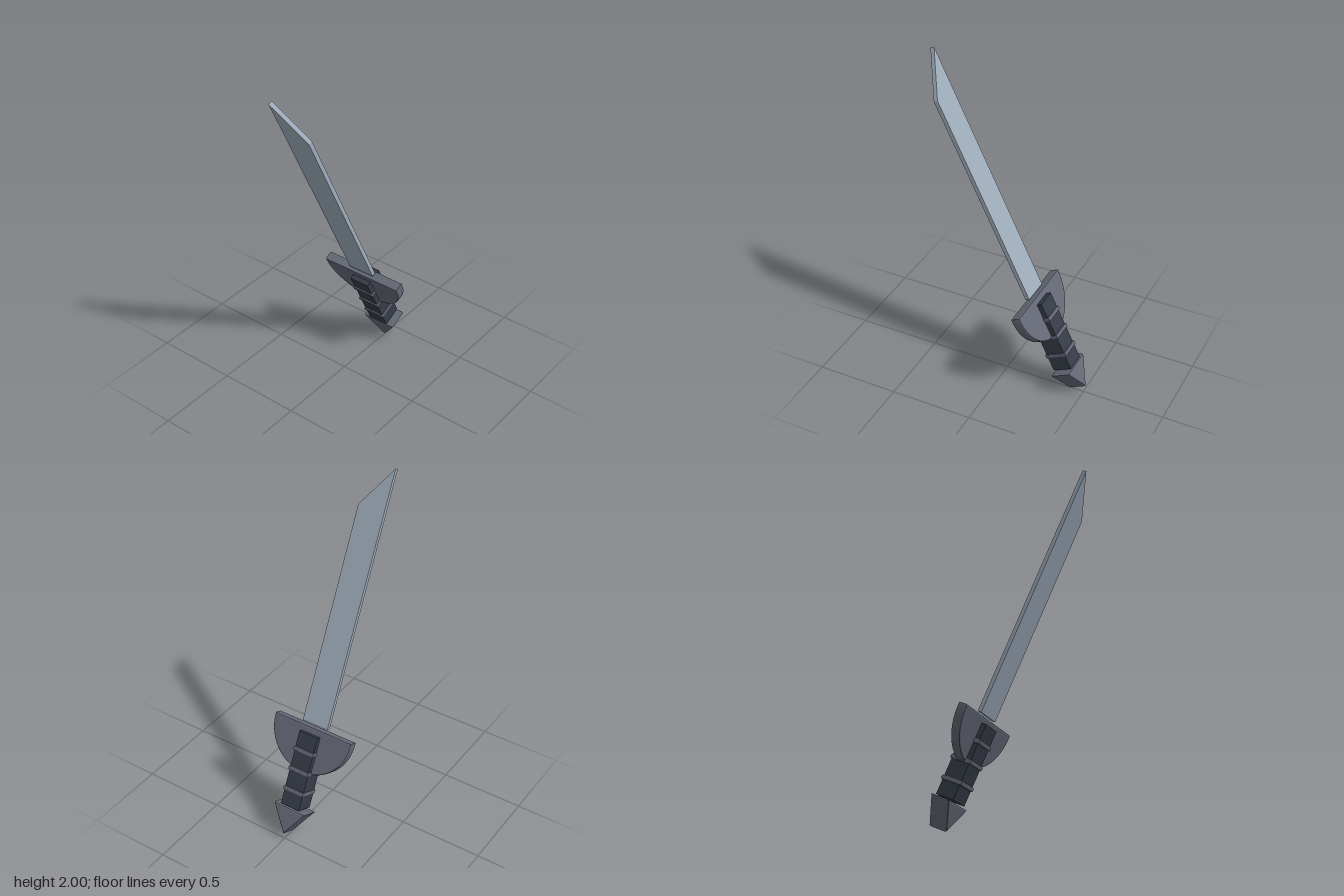
import * as THREE from 'three';

const steel = new THREE.MeshStandardMaterial({ name: 'bladeSteel', color: 0x9fadbc });
const iron = new THREE.MeshStandardMaterial({ name: 'darkIron', color: 0x666a78 });
const wrap = new THREE.MeshStandardMaterial({ name: 'gripWrap', color: 0x363c48 });

// Slab cut from an outline, centred on local z, with optional bevel kept inside the outline
function slab(name, shape, depth, bevel, material) {
  const geometry = new THREE.ExtrudeGeometry(shape, {
    depth: depth - 2 * bevel,
    bevelEnabled: bevel > 0,
    bevelSize: bevel,
    bevelThickness: bevel,
    bevelOffset: -bevel,
    bevelSegments: 2,
    curveSegments: 24,
  });
  geometry.translate(0, 0, -depth / 2 + bevel);
  const mesh = new THREE.Mesh(geometry, material);
  mesh.name = name;
  return mesh;
}

function polygon(points) {
  return new THREE.Shape(points.map(([x, y]) => new THREE.Vector2(x, y)));
}

export function createModel() {
  const model = new THREE.Group();
  model.name = 'sword';

  // The whole sword leans forward along its own axis
  const sword = new THREE.Group();
  sword.name = 'tiltedSword';
  sword.rotation.x = 0.45;
  sword.position.z = -0.473;
  model.add(sword);

  // Blade with a slanted tip
  const blade = polygon([[-0.084, 0.697], [0.084, 0.697], [0.084, 1.972], [-0.084, 2.216]]);
  sword.add(slab('blade', blade, 0.025, 0, steel));

  // Half-round guard
  const guard = new THREE.Shape();
  guard.moveTo(0.26, 0.682);
  guard.lineTo(-0.26, 0.682);
  guard.lineTo(-0.26, 0.665);
  guard.absellipse(0, 0.665, 0.26, 0.258, Math.PI, Math.PI * 2, false);
  sword.add(slab('guard', guard, 0.06, 0.008, iron));

  // Square grip
  const grip = new THREE.Mesh(new THREE.BoxGeometry(0.125, 0.45, 0.12), wrap);
  grip.name = 'grip';
  grip.position.y = 0.42;
  sword.add(grip);

  // Raised bands around the grip
  for (const y of [0.295, 0.42, 0.54]) {
    const outline = polygon([[-0.067, -0.069], [0.067, -0.069], [0.067, 0.069], [-0.067, 0.069]]);
    const band = slab('gripBand', outline, 0.026, 0.006, iron);
    band.rotation.x = Math.PI / 2;
    band.position.y = y;
    sword.add(band);
  }

  // Wedge pommel
  const pommel = polygon([[0, 0.026], [0.108, 0.185], [-0.108, 0.185]]);
  sword.add(slab('pommel', pommel, 0.125, 0.012, iron));

  return model;
}
